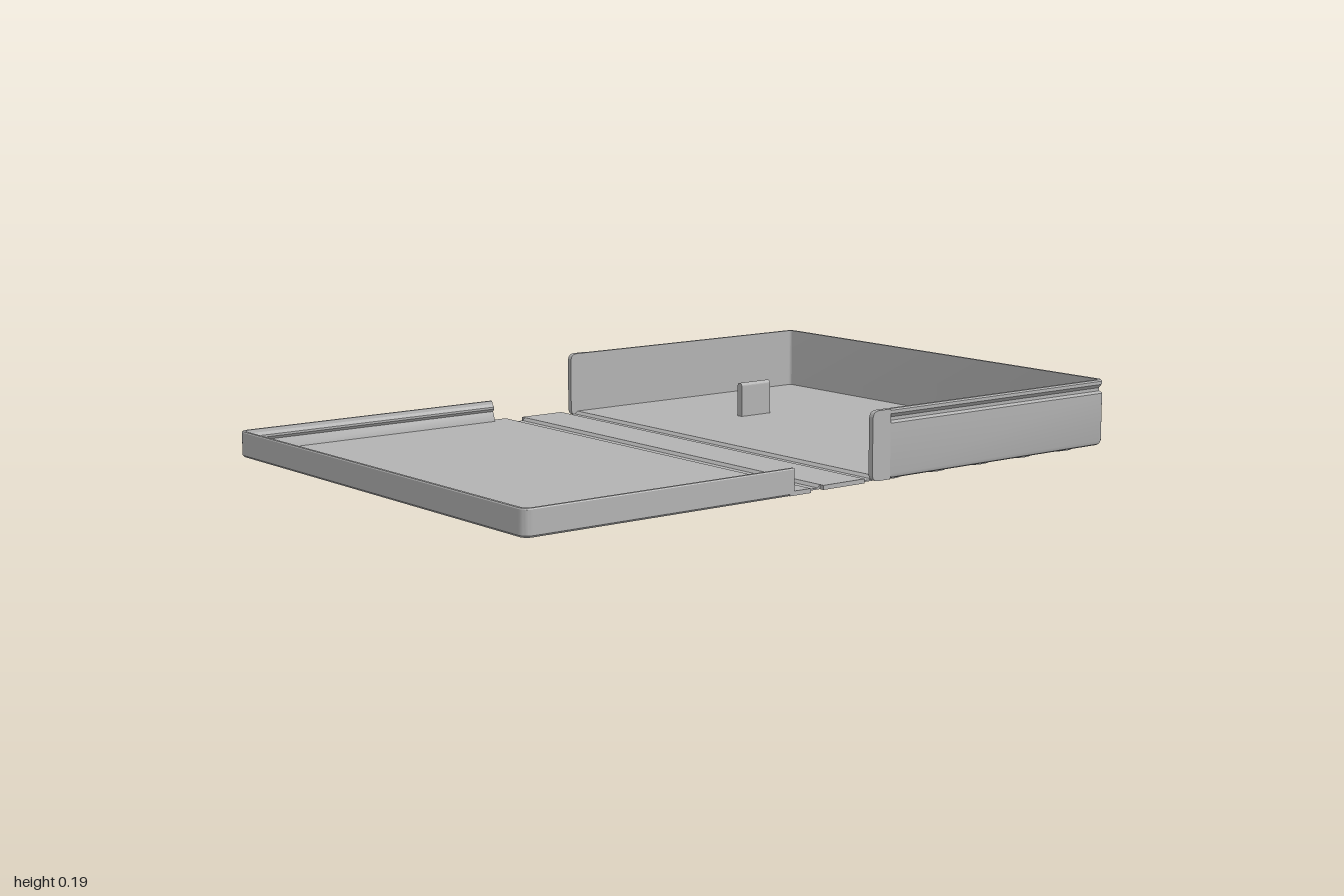
import * as THREE from 'three';
import { toCreasedNormals } from 'three/addons/utils/BufferGeometryUtils.js';

const BASE = 0.008; // underside of the floor, resting on the pads
const FLOOR = 0.02; // upper face of the floor

// Sweeps a wall section [inset, height] around a U: +x side, back (-z), -x side.
function uWall(section, halfWidth, back, end, radius) {
  const steps = 6, rings = [];
  const ring = (fn) => rings.push(section.map(([d, y]) => {
    const [x, z] = fn(d);
    return new THREE.Vector3(x, y, z);
  }));
  const corner = (side, a) => ring((d) => [
    side * (halfWidth - radius + (radius - d) * Math.cos(a)),
    back + radius - (radius - d) * Math.sin(a),
  ]);
  ring((d) => [halfWidth - d, end]);
  for (let i = 0; i <= steps; i++) corner(1, (i / steps) * Math.PI / 2);
  for (let i = steps; i >= 0; i--) corner(-1, (i / steps) * Math.PI / 2);
  ring((d) => [-halfWidth + d, end]);

  const tris = [];
  const n = section.length;
  for (let i = 0; i < rings.length - 1; i++) {
    for (let j = 0; j < n; j++) {
      const k = (j + 1) % n;
      const a = rings[i][j], b = rings[i + 1][j], c = rings[i + 1][k], d = rings[i][k];
      tris.push(a, b, c, a, c, d);
    }
  }
  // end caps at the open side
  const contour = section.map(([d, y]) => new THREE.Vector2(d, y));
  const last = rings[rings.length - 1];
  for (const [p, q, r] of THREE.ShapeUtils.triangulateShape(contour, [])) {
    tris.push(rings[0][p], rings[0][r], rings[0][q], last[p], last[q], last[r]);
  }
  return toCreasedNormals(new THREE.BufferGeometry().setFromPoints(tris), 0.45);
}

// Extrudes a z-y outline along x, centred on x = 0.
function extrudeAlongX(shape, width) {
  const geo = new THREE.ExtrudeGeometry(shape, { depth: width, bevelEnabled: false, curveSegments: 6 });
  geo.translate(0, 0, -width / 2);
  geo.rotateY(-Math.PI / 2); // shape x becomes z
  return geo;
}

export function createModel() {
  const model = new THREE.Group();
  model.name = 'hingedBox';
  const plastic = new THREE.MeshStandardMaterial({ color: 0xb2b2b2 });
  plastic.name = 'grey plastic';

  const add = (name, geo, parent = model) => {
    const mesh = new THREE.Mesh(geo, plastic);
    mesh.name = name;
    parent.add(mesh);
    return mesh;
  };
  const slab = (name, halfWidth, z0, z1) => {
    const mesh = add(name, new THREE.BoxGeometry(halfWidth * 2, FLOOR - BASE, z1 - z0));
    mesh.position.set(0, (BASE + FLOOR) / 2, (z0 + z1) / 2);
  };

  // Continuous floor with two thin living-hinge grooves
  const film = 0.012;
  const floor = new THREE.Shape([
    [-0.987, BASE], [0.987, BASE], [0.987, FLOOR],
    [0.11, FLOOR], [0.09, film], [0.066, film], [0.058, FLOOR],
    [-0.085, FLOOR], [-0.1, film], [-0.126, film], [-0.135, FLOOR],
    [-0.987, FLOOR],
  ].map(([z, y]) => new THREE.Vector2(z, y)));
  add('floorWithHinges', extrudeAlongX(floor, 1.322));

  // Wider parts of the floor next to the hinges
  slab('spineStrip', 0.675, -0.085, 0.058);
  slab('lidFloorEdge', 0.685, 0.11, 0.18);

  // Deep tray wall with a snap groove below its lip
  add('trayWall', uWall([
    [0.012, BASE], [0.004, 0.012], [0, 0.022], [0, 0.157], [0.009, 0.163],
    [0.009, 0.172], [0.001, 0.182], [0.001, 0.191], [0.005, 0.195],
    [0.015, 0.195], [0.015, BASE],
  ], 0.675, -1, -0.175, 0.024));

  // Rounded, ungrooved ends of the tray side walls
  const z0 = -0.176, z1 = -0.112, top = 0.195, r = 0.022;
  const endShape = new THREE.Shape();
  endShape.moveTo(z0, BASE);
  endShape.lineTo(z1 - r, BASE);
  endShape.quadraticCurveTo(z1, BASE, z1, BASE + r);
  endShape.lineTo(z1, top - r);
  endShape.quadraticCurveTo(z1, top, z1 - r, top);
  endShape.lineTo(z0, top);
  for (const side of [1, -1]) {
    add('trayWallEnd', extrudeAlongX(endShape, 0.015)).position.x = side * 0.6675;
  }

  // Shallow lid wall with an inner snap bead, turned to face the front
  const lid = add('lidWall', uWall([
    [0.004, BASE], [0, 0.013], [0, 0.076], [0.002, 0.079], [0.01, 0.079],
    [0.012, 0.07], [0.02, 0.062], [0.02, 0.056], [0.014, 0.048],
    [0.025, FLOOR], [0.025, BASE],
  ], 0.685, -1, -0.165, 0.026));
  lid.rotation.y = Math.PI;

  // Upright tab with a rounded top inside the tray
  const tab = new THREE.Shape();
  tab.moveTo(-0.01, 0.018);
  tab.lineTo(0.01, 0.018);
  tab.lineTo(0.01, 0.11);
  tab.absarc(0, 0.11, 0.01, 0, Math.PI, false);
  tab.lineTo(-0.01, 0.018);
  const tabMesh = add('innerTab', new THREE.ExtrudeGeometry(tab, { depth: 0.11, bevelEnabled: false, curveSegments: 8 }));
  tabMesh.position.set(-0.285, 0, -0.57);

  // Grids of round pads on the underside
  const padGrid = (name, radius, columns, halfX, rows, za, zb) => {
    const group = new THREE.Group();
    group.name = name;
    const geo = new THREE.CylinderGeometry(radius, radius, BASE, 32);
    for (let i = 0; i < columns; i++) {
      for (let j = 0; j < rows; j++) {
        const pad = add('pad', geo, group);
        pad.position.set(
          -halfX + (2 * halfX * i) / (columns - 1),
          BASE / 2,
          rows > 1 ? za + ((zb - za) * j) / (rows - 1) : za,
        );
      }
    }
    model.add(group);
  };
  padGrid('trayPads', 0.062, 7, 0.58, 5, -0.88, -0.22);
  padGrid('lidPads', 0.051, 9, 0.59, 6, 0.21, 0.9);
  padGrid('spinePads', 0.03, 13, 0.6, 1, -0.013, -0.013);

  return model;
}
